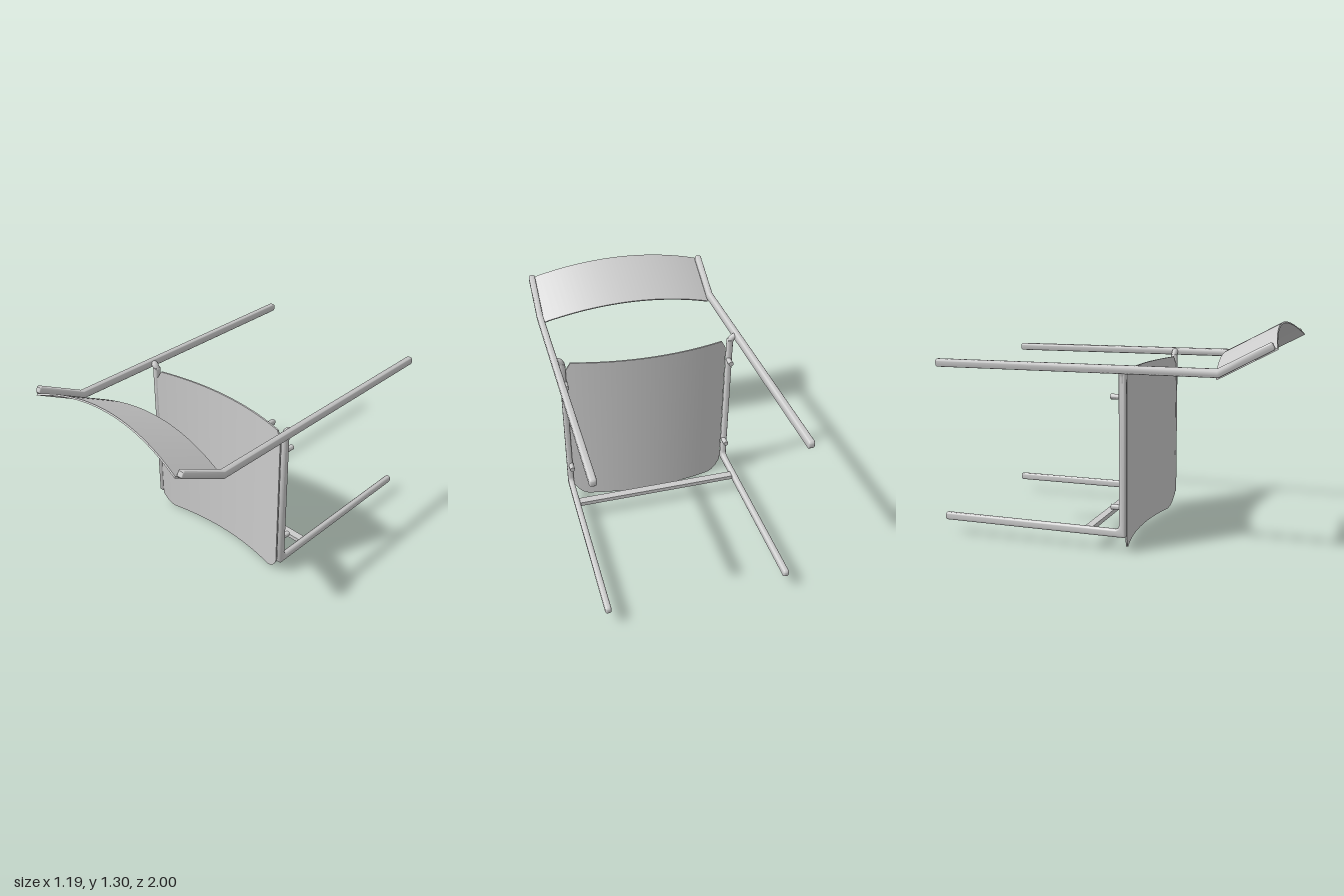
import * as THREE from 'three';
import { toCreasedNormals } from 'three/addons/utils/BufferGeometryUtils.js';

const material = new THREE.MeshStandardMaterial({ color: 0xcccccc, side: THREE.DoubleSide });

function part(name, geometry, crease = 0.6) {
  const mesh = new THREE.Mesh(toCreasedNormals(geometry, crease), material);
  mesh.name = name;
  return mesh;
}

// Soft-edged bar: outline given as [z, y] corners, centred on x with the given width
function sideBar(name, points, width, x) {
  const shape = new THREE.Shape(points.map(([z, y]) => new THREE.Vector2(z, y)));
  const b = 0.012;
  const geometry = new THREE.ExtrudeGeometry(shape, {
    depth: width - 2 * b, bevelThickness: b, bevelSize: b, bevelOffset: -b, bevelSegments: 3,
  });
  geometry.translate(0, 0, -(width - 2 * b) / 2).rotateY(-Math.PI / 2).translate(x, 0, 0);
  return part(name, geometry, 0.8);
}

// Curved seat panel with trimmed corners
function seat() {
  const geometry = new THREE.BoxGeometry(1.02, 1, 0.01, 34, 1, 1);
  const p = geometry.attributes.position;
  const ramp = (x, a, b, from, to) => from + (to - from) * THREE.MathUtils.clamp((x - a) / (b - a), 0, 1);
  for (let i = 0; i < p.count; i++) {
    const x = Math.abs(p.getX(i));
    const low = x < 0.47 ? ramp(x, 0.43, 0.47, 0, 0.02) : ramp(x, 0.47, 0.51, 0.02, 0.08);
    const high = x < 0.5 ? ramp(x, 0.48, 0.5, 1.03, 1.015) : ramp(x, 0.5, 0.51, 1.015, 0.975);
    p.setY(i, p.getY(i) < 0 ? low : high);
    p.setZ(i, p.getZ(i) + 0.085 + 0.075 * (x / 0.51) ** 2);
  }
  return part('seat', geometry);
}

// Bowed backrest: thin arched section extruded along the lean
function backrest() {
  const n = 28, half = 0.56, rise = 0.115, t = 0.01;
  const arc = [];
  for (let i = 0; i <= n; i++) {
    const x = -half + (2 * half * i) / n;
    arc.push([x, rise * (1 - (x / half) ** 2)]);
  }
  const outline = [...arc, ...arc.map(([x, y]) => [x, y + t]).reverse()];
  const shape = new THREE.Shape(outline.map(([x, y]) => new THREE.Vector2(x, y)));
  const geometry = new THREE.ExtrudeGeometry(shape, { depth: 0.362, bevelEnabled: false });
  geometry.rotateX(-0.49).translate(0, 1.02, 0.68);
  return part('backrest', geometry);
}

export function createModel() {
  const chair = new THREE.Group();
  chair.name = 'chair';
  chair.add(seat(), backrest());

  for (const side of [1, -1]) {
    const frame = new THREE.Group();
    frame.name = side > 0 ? 'leftFrame' : 'rightFrame';

    // Rear leg with the bent upright that carries the backrest
    frame.add(sideBar('rearLeg', [
      [-0.99, 1.035], [0.693, 1.035], [0.98, 1.188], [0.985, 1.199],
      [0.972, 1.225], [0.96, 1.228], [0.685, 1.083], [-0.99, 1.083], [-1, 1.073], [-1, 1.045],
    ], 0.04, side * 0.575));

    // Front leg and seat rail in one L-shaped piece
    frame.add(sideBar('frontLegAndRail', [
      [-0.99, 0.09], [0.16, 0.09], [0.167, 0.098], [0.167, 1.04], [0.125, 1.04],
      [0.125, 0.16], [0.12, 0.145], [0.105, 0.137], [-0.99, 0.137], [-1, 0.127], [-1, 0.1],
    ], 0.036, side * 0.53));

    // Curved joint from rail to rear leg
    const joint = new THREE.CatmullRomCurve3([
      new THREE.Vector3(side * 0.531, 0.98, 0.145),
      new THREE.Vector3(side * 0.533, 1.03, 0.145),
      new THREE.Vector3(side * 0.548, 1.055, 0.145),
      new THREE.Vector3(side * 0.575, 1.06, 0.145),
    ]);
    frame.add(part('railJoint', new THREE.TubeGeometry(joint, 12, 0.02, 10), 1));

    // Mounting pegs under the seat
    for (const y of [0.265, 0.9]) {
      const peg = new THREE.CylinderGeometry(0.016, 0.016, 0.06, 14);
      peg.rotateX(Math.PI / 2).translate(side * 0.523, y, 0.105);
      frame.add(part('mountingPeg', peg));
    }
    chair.add(frame);
  }

  // Crossbar between the front legs
  const crossbar = part('crossbar', new THREE.BoxGeometry(1.03, 0.026, 0.048));
  crossbar.position.set(0, 0.114, -0.074);
  chair.add(crossbar);
  return chair;
}
